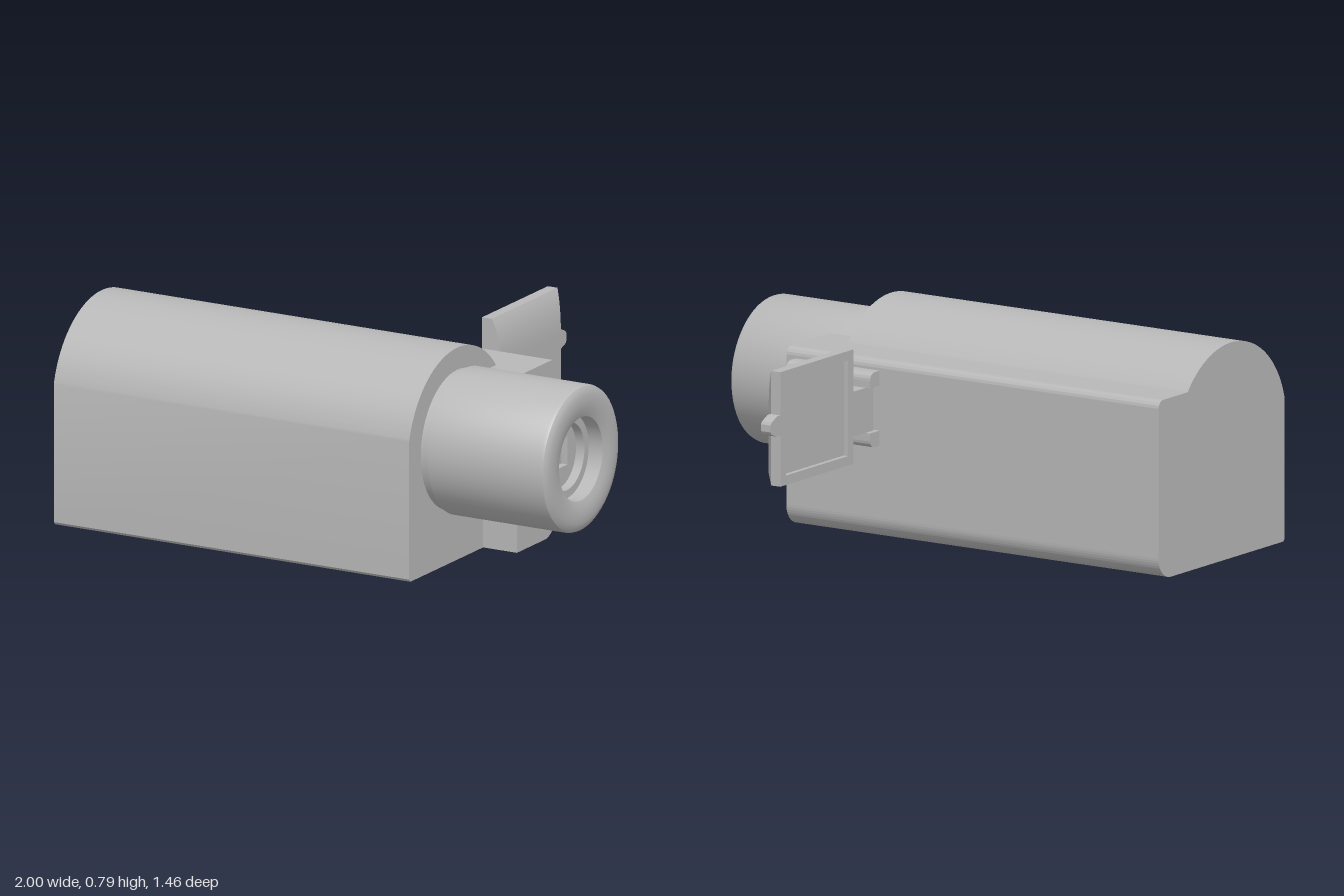
import * as THREE from 'three';
import { toCreasedNormals } from 'three/addons/utils/BufferGeometryUtils.js';

const grey = new THREE.MeshStandardMaterial({ color: 0xb8b8b8 });
grey.name = 'grey plastic';

const LENS_Y = 0.45, LENS_Z = 0.39;

export function createModel() {
  const model = new THREE.Group();
  model.name = 'camcorder';

  const add = (name, geometry, parent = model) => {
    const mesh = new THREE.Mesh(geometry, grey);
    mesh.name = name;
    parent.add(mesh);
    return mesh;
  };
  // Box from its extents
  const box = (x0, x1, y0, y1, z0, z1) =>
    new THREE.BoxGeometry(x1 - x0, y1 - y0, z1 - z0)
      .translate((x0 + x1) / 2, (y0 + y1) / 2, (z0 + z1) / 2);
  // Extrude a shape drawn in (-z, y) from x0 to x1
  const alongX = (shape, x0, x1) => {
    const g = new THREE.ExtrudeGeometry(shape, { depth: x1 - x0, bevelEnabled: false, curveSegments: 40 });
    return toCreasedNormals(g.rotateY(Math.PI / 2).translate(x0, 0, 0), 0.5);
  };
  const polygon = (pts) => new THREE.Shape(pts.map(([a, b]) => new THREE.Vector2(a, b)));
  const rect = (a0, a1, b0, b1) => polygon([[a0, b0], [a1, b0], [a1, b1], [a0, b1]]);
  // Surface of revolution around an axis parallel to x; points are [radius, x]
  const lathe = (pts, y, z, sides) => {
    const g = new THREE.LatheGeometry(pts.map(([r, x]) => new THREE.Vector2(r, x)), sides);
    return toCreasedNormals(g.rotateZ(-Math.PI / 2).translate(0, y, z), 0.5);
  };

  // Main housing with an arched top
  const arch = new THREE.Shape();
  arch.moveTo(-0.722, 0);
  arch.lineTo(-0.205, 0);
  arch.lineTo(-0.205, 0.655);
  arch.lineTo(-0.114, 0.655);
  arch.absarc(-0.39, 0.44, 0.35, Math.atan2(0.215, 0.276), Math.atan2(0.083, -0.34), false);
  arch.lineTo(-0.73, 0.01);
  arch.closePath();
  add('mainHousing', alongX(arch, -1, 0.475));

  // Side housing with rounded outer edges
  const side = new THREE.Shape();
  side.moveTo(-0.206, 0);
  side.lineTo(-0.01, 0);
  side.absarc(-0.01, 0.08, 0.08, -Math.PI / 2, 0, false);
  side.absarc(0.04, 0.627, 0.03, 0, Math.PI / 2, false);
  side.lineTo(-0.206, 0.657);
  side.closePath();
  add('sideHousing', alongX(side, -1, 0.615));

  // Lens barrel with neck, rounded rim and stepped recess
  const lens = new THREE.Group();
  lens.name = 'lens';
  model.add(lens);
  add('lensBarrel', lathe([
    [0.258, 0.47], [0.258, 0.51], [0.27, 0.51], [0.27, 0.975], [0.266, 0.986], [0.255, 0.994],
    [0.235, 0.999], [0.21, 1], [0.18, 0.997], [0.155, 0.988], [0.155, 0.93], [0.125, 0.93], [0.125, 0.89],
  ], LENS_Y, LENS_Z, 64), lens);

  // Lens floor with a rectangular window
  const floor = new THREE.Shape();
  floor.absarc(-LENS_Z, LENS_Y, 0.13, 0, Math.PI * 2, false);
  floor.holes.push(rect(-0.46, -0.325, 0.4, 0.505));
  add('lensFloor', alongX(floor, 0.87, 0.895), lens);
  add('lensWindow', box(0.85, 0.87, 0.39, 0.515, 0.315, 0.47), lens);

  // Controls on the front of the side housing
  const rocker = box(0.61, 0.627, 0.45, 0.582, 0, 0.07);
  const rp = rocker.attributes.position;
  for (let i = 0; i < rp.count; i++) {
    if (rp.getX(i) > 0.62) {
      rp.setY(i, 0.516 + (rp.getY(i) - 0.516) * 0.75);
      rp.setZ(i, 0.035 + (rp.getZ(i) - 0.035) * 0.6);
    }
  }
  rocker.computeVertexNormals();
  add('rockerButton', rocker);
  add('roundButton', lathe([[0.039, 0.61], [0.039, 0.617], [0.027, 0.625], [0, 0.625]], 0.21, 0.01, 32));

  // Hinge base, rounded outside, with two lugs around a slot
  const hinge = new THREE.Group();
  hinge.name = 'screenHinge';
  model.add(hinge);
  const base = new THREE.Shape();
  base.moveTo(0.06, 0.345);
  base.absarc(0.1, 0.375, 0.03, -Math.PI / 2, 0, false);
  base.absarc(0.1, 0.59, 0.03, 0, Math.PI / 2, false);
  base.lineTo(0.06, 0.62);
  base.closePath();
  add('hingeBase', alongX(base, 0.305, 0.575), hinge);
  for (const s of [-1, 1]) {
    const lug = new THREE.Shape();
    const y = (d) => 0.4825 + s * d;
    lug.moveTo(0.06, y(0.0825));
    lug.lineTo(0.13, y(0.0825));
    lug.lineTo(0.13, y(0.1075));
    lug.quadraticCurveTo(0.13, y(0.1375), 0.1, y(0.1375));
    lug.lineTo(0.06, y(0.1375));
    lug.closePath();
    add(s > 0 ? 'upperLug' : 'lowerLug', alongX(lug, 0.21, 0.305), hinge);
  }
  add('hingeArm', box(0.23, 0.303, 0.4, 0.565, -0.21, -0.08), hinge);

  // Fold-out screen: framed display on one face, bevelled cover on the other
  const screen = new THREE.Group();
  screen.name = 'foldOutScreen';
  model.add(screen);
  const frame = rect(0.205, 0.67, 0.3, 0.72);
  frame.holes.push(rect(0.24, 0.635, 0.335, 0.685));
  add('screenFrame', alongX(frame, 0.23, 0.248), screen);
  add('display', box(0.248, 0.27, 0.3, 0.72, -0.67, -0.205), screen);

  const cover = polygon([[0.27, 0.3], [0.305, 0.335], [0.305, 0.56]]);
  cover.quadraticCurveTo(0.305, 0.66, 0.27, 0.72);
  cover.closePath();
  const coverGeo = new THREE.ExtrudeGeometry(cover, { depth: 0.465, bevelEnabled: false, curveSegments: 12 });
  coverGeo.translate(0, 0, -0.67);
  const cp = coverGeo.attributes.position;
  for (let i = 0; i < cp.count; i++) {
    if (cp.getZ(i) < -0.6) cp.setZ(i, cp.getZ(i) + cp.getX(i) - 0.27);
  }
  add('screenCover', toCreasedNormals(coverGeo, 0.4), screen);

  // Finger tab on the screen's free end
  const tab = polygon([[0.66, 0.487], [0.69, 0.487], [0.725, 0.5], [0.731, 0.51],
    [0.731, 0.535], [0.725, 0.545], [0.69, 0.562], [0.66, 0.562]]);
  add('fingerTab', alongX(tab, 0.23, 0.272), screen);

  return model;
}
